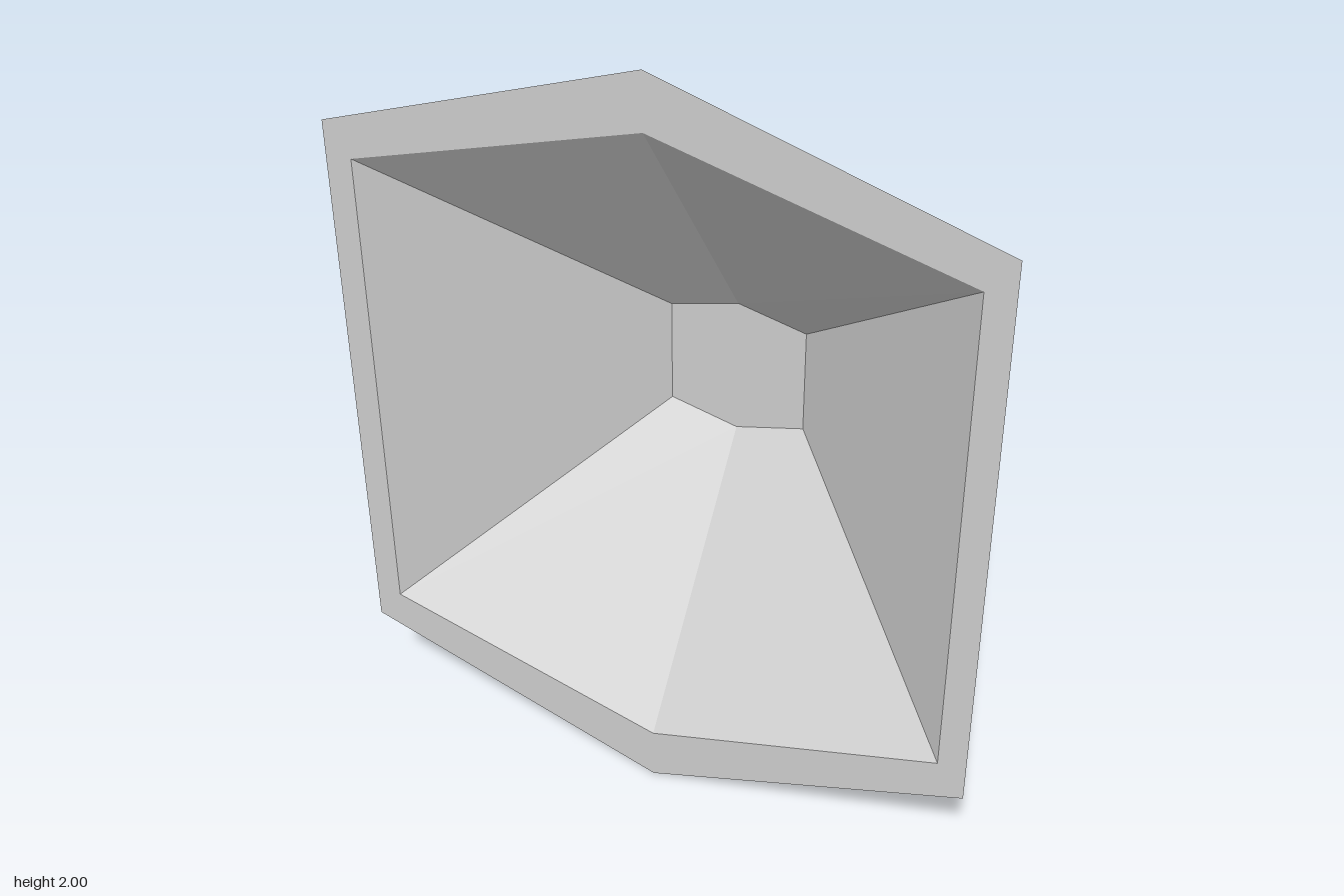
import * as THREE from 'three';

// Six-sided outline, counter-clockwise seen from the front, centred on y = 1
function hexRing(halfWidth, cornerHeight, apexHeight, z) {
  return [
    [0, apexHeight], [-halfWidth, cornerHeight], [-halfWidth, -cornerHeight],
    [0, -apexHeight], [halfWidth, -cornerHeight], [halfWidth, cornerHeight],
  ].map(([x, y]) => new THREE.Vector3(x, y + 1, z));
}

function facetedMesh(name, points, material) {
  const geometry = new THREE.BufferGeometry().setFromPoints(points);
  geometry.computeVertexNormals();
  const mesh = new THREE.Mesh(geometry, material);
  mesh.name = name;
  return mesh;
}

// Band of flat panels joining two rings
function band(from, to) {
  return from.flatMap((a, i) => {
    const j = (i + 1) % from.length;
    return [a, from[j], to[j], a, to[j], to[i]];
  });
}

// Flat cap over a ring, facing +z unless flipped
function cap(ring, flip) {
  const points = [];
  for (let i = 1; i < ring.length - 1; i++) {
    points.push(ring[0], ...(flip ? [ring[i + 1], ring[i]] : [ring[i], ring[i + 1]]));
  }
  return points;
}

export function createModel() {
  const group = new THREE.Group();
  group.name = 'hexagonalDish';
  const material = new THREE.MeshStandardMaterial({ color: 0xcccccc, flatShading: true });

  const outerBack = hexRing(0.24, 0.215, 0.285, -0.27);
  const outerRim = hexRing(0.85, 0.737, 1, 0.27);
  const innerRim = hexRing(0.778, 0.65, 0.857, 0.27);
  const innerFloor = hexRing(0.191, 0.143, 0.188, -0.25);

  group.add(
    facetedMesh('backPlate', cap(outerBack, true), material),
    facetedMesh('outerWalls', band(outerBack, outerRim), material),
    facetedMesh('frontRim', band(outerRim, innerRim), material),
    facetedMesh('innerWalls', band(innerRim, innerFloor), material),
    facetedMesh('dishFloor', cap(innerFloor, false), material),
  );
  return group;
}
